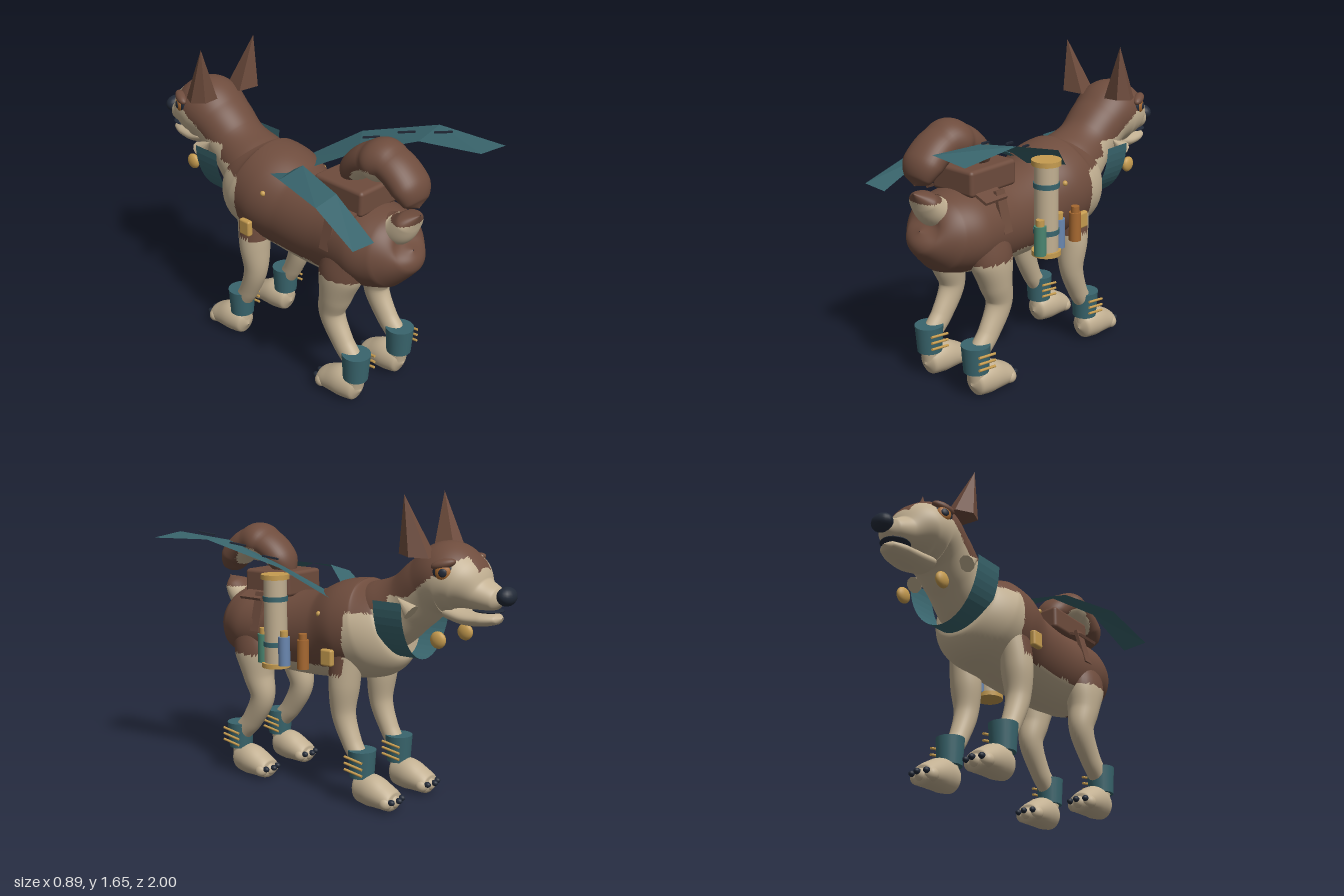
import * as THREE from 'three';
import { RoundedBoxGeometry } from 'three/addons/geometries/RoundedBoxGeometry.js';
import { ConvexGeometry } from 'three/addons/geometries/ConvexGeometry.js';

const mat = (name, color, side = THREE.FrontSide) => {
  const m = new THREE.MeshStandardMaterial({ color, side });
  m.name = name;
  return m;
};
const brown = mat('brown fur', 0x6e4c3d);
const tan = mat('tan fur', 0xc2b092);
const teal = mat('teal cloth', 0x39656d, THREE.DoubleSide);
const gold = mat('gold', 0xc69c50);
const dark = mat('dark navy', 0x222a38);
const green = mat('green glass', 0x4a8570);
const blue = mat('blue glass', 0x6a87b0);
const orange = mat('orange glass', 0xa66830);

const v = (x, y, z) => new THREE.Vector3(x, y, z);

// Smooth skin through oval stations [y, z, halfWidth, halfDepth] lying in the x = 0 plane
function loft(stations, rows = 32, seg = 32) {
  const path = new THREE.CatmullRomCurve3(stations.map(s => v(0, s[0], s[1])));
  const size = new THREE.CatmullRomCurve3(stations.map(s => v(s[2], s[3], 0)));
  const pos = [], index = [], X = v(1, 0, 0);
  for (let i = 0; i <= rows; i++) {
    const t = i / rows, c = path.getPoint(t), r = size.getPoint(t);
    const n = X.clone().cross(path.getTangent(t));
    for (let j = 0; j < seg; j++) {
      const a = j / seg * Math.PI * 2, d = Math.max(r.y, 0.003) * Math.sin(a);
      pos.push(Math.max(r.x, 0.003) * Math.cos(a), c.y + n.y * d, c.z + n.z * d);
      if (i < rows) {
        const p = i * seg + j, q = i * seg + (j + 1) % seg;
        index.push(p, p + seg, q, q, p + seg, q + seg);
      }
    }
  }
  const g = new THREE.BufferGeometry();
  g.setAttribute('position', new THREE.Float32BufferAttribute(pos, 3));
  g.setIndex(index);
  g.computeVertexNormals();
  return g;
}

// Sorts faces into brown and tan fur by a rule on their centre
function paint(g, isBrown) {
  const p = g.attributes.position, src = g.index.array, sets = [[], []];
  for (let i = 0; i < src.length; i += 3) {
    const f = [src[i], src[i + 1], src[i + 2]];
    const mid = k => f.reduce((s, n) => s + p.array[n * 3 + k], 0) / 3;
    sets[isBrown(mid(0), mid(1), mid(2)) ? 0 : 1].push(...f);
  }
  g.setIndex([...sets[0], ...sets[1]]);
  g.addGroup(0, sets[0].length, 0);
  g.addGroup(sets[0].length, sets[1].length, 1);
  return g;
}

function add(parent, name, geo, material, x = 0, y = 0, z = 0) {
  const m = new THREE.Mesh(geo, material);
  m.name = name;
  m.position.set(x, y, z);
  parent.add(m);
  return m;
}
const ball = (parent, name, material, r, x, y, z, sx = 1, sy = 1, sz = 1) => {
  const m = add(parent, name, new THREE.SphereGeometry(r, 20, 14), material, x, y, z);
  m.scale.set(sx, sy, sz);
  return m;
};
const tube = (r1, r2, h) => new THREE.CylinderGeometry(r1, r2, h, 24);

// Cloth strip from pairs of edge points
function ribbon(rows) {
  const g = new THREE.BufferGeometry(), index = [];
  for (let i = 0; i < rows.length - 1; i++) {
    const a = i * 2;
    index.push(a, a + 2, a + 1, a + 1, a + 2, a + 3);
  }
  g.setAttribute('position', new THREE.Float32BufferAttribute(rows.flat(), 3));
  g.setIndex(index);
  const flat = g.toNonIndexed();
  flat.computeVertexNormals();
  return flat;
}

export function createModel() {
  const model = new THREE.Group();
  model.name = 'packDog';
  const dog = new THREE.Group();
  dog.name = 'dog';
  dog.position.x = -0.035;
  model.add(dog);
  const fur = [brown, tan];

  // Trunk
  add(dog, 'body', paint(loft([
    [.92, .85, 0, 0], [.9, .83, .11, .1], [.88, .74, .205, .19], [.865, .6, .245, .22],
    [.85, .35, .225, .23], [.87, .1, .235, .245], [.915, -.08, .27, .27],
    [.935, -.2, .26, .265], [.98, -.31, .2, .2], [1, -.37, 0, 0]], 100, 80),
  (x, y, z) => z < -.15 ? y > 1.04 : y > (z > .62 ? .64 + .4 * Math.abs(x) : .72)), fur);

  // Neck, skull and muzzle
  add(dog, 'neckAndHead', paint(loft([
    [.95, -.08, .18, .2], [1.01, -.27, .19, .19], [1.1, -.42, .165, .16], [1.19, -.53, .175, .16],
    [1.235, -.63, .19, .185], [1.215, -.73, .175, .15], [1.17, -.82, .105, .085],
    [1.15, -.9, .075, .06], [1.145, -.945, 0, 0]], 100, 80),
  (x, y, z) => z > -.36 ? y > 1.06 :
    y > 1.14 + .75 * Math.max(0, -z - .48) || (Math.abs(x) < .06 && y > 1.22 && z > -.83)), fur);
  add(dog, 'lowerJaw', loft([[1.07, -.64, .08, .04], [1.05, -.74, .09, .042], [1.05, -.84, .08, .038],
    [1.055, -.91, .05, .025], [1.06, -.935, 0, 0]]), tan);
  ball(dog, 'mouth', dark, .08, 0, 1.093, -.855, .95, .14, 1);
  ball(dog, 'nose', dark, .05, 0, 1.17, -.953, 1.25, .95, .94);

  for (const s of [-1, 1]) {
    // Ears, eyes and cheek tufts
    add(dog, 'ear', new ConvexGeometry([
      v(.225 * s, 1.35, -.53), v(.08 * s, 1.35, -.48), v(.09 * s, 1.35, -.6),
      v(.18 * s, 1.345, -.62), v(.19 * s, 1.36, -.45), v(.185 * s, 1.65, -.475)]), brown);
    const eye = new THREE.Group();
    eye.name = 'eye';
    eye.position.set(.158 * s, 1.283, -.69);
    eye.rotation.y = Math.atan2(.9 * s, -.4);
    dog.add(eye);
    ball(eye, 'eyeRim', dark, .053, 0, 0, 0, 1, 1, .5);
    ball(eye, 'iris', orange, .04, 0, 0, .014, 1, 1, .5);
    ball(eye, 'pupil', dark, .021, 0, 0, .03, 1, 1, .4);
    const lid = ball(eye, 'brow', brown, .06, 0, .04, .004, 1.05, .42, .5);
    lid.rotation.z = .25 * s;
    const tuft = add(dog, 'cheekTuft', new THREE.ConeGeometry(.045, .11, 10), tan, .18 * s, 1.105, -.48);
    tuft.rotation.x = .9;
    // Hanging gold charms and side pouches
    ball(dog, 'charm', gold, .044, .13 * s, .94, -.65, .55);
    add(dog, 'sidePouch', new RoundedBoxGeometry(.035, .09, .075, 2, .012), gold, .268 * s, .795, -.06);
    ball(dog, 'rivet', gold, .015, .225 * s, 1.01, .03);
    add(dog, 'packStrap', new THREE.BoxGeometry(.02, .22, .06), brown, .205 * s, .97, .48).rotation.z = .25 * s;
    add(dog, 'packStrapTop', new THREE.BoxGeometry(.1, .015, .15), brown, .165 * s, 1.06, .53).rotation.z = -.4 * s;

    // Legs with paws and banded cuffs
    for (const rear of [true, false]) {
      const leg = new THREE.Group();
      leg.name = rear ? 'rearLeg' : 'frontLeg';
      leg.position.x = .172 * s;
      dog.add(leg);
      add(leg, 'limb', paint(loft(rear ?
        [[.88, .6, .05, .1], [.74, .54, .092, .125], [.6, .51, .085, .09], [.48, .485, .066, .072],
          [.33, .565, .052, .062], [.22, .655, .05, .055], [.1, .65, .05, .05]] :
        [[.9, -.12, .06, .1], [.65, -.1, .085, .085], [.48, -.095, .066, .066],
          [.33, -.15, .054, .054], [.22, -.21, .05, .05], [.1, -.22, .05, .05]], 48, 32),
      (x, y, z) => rear ? y > .73 : y > .7 && z > -.14), fur);
      const foot = rear ? .58 : -.285;
      add(leg, 'paw', loft([[.08, .12, 0, 0], [.085, .09, .06, .072], [.09, 0, .08, .088],
        [.072, -.08, .078, .07], [.055, -.14, .07, .05], [.055, -.16, 0, 0]]), tan, 0, 0, foot);
      for (const t of [-1, 0, 1]) {
        ball(leg, 'toe', tan, .037, t * .046, .056, foot - .132 + Math.abs(t) * .015);
        ball(leg, 'claw', dark, .016, t * .048, .068, foot - .17 + Math.abs(t) * .015, 1, 1, 1.3);
      }
      const cuffZ = rear ? .66 : -.217;
      add(leg, 'cuff', tube(.076, .066, .148), teal, 0, .228, cuffZ);
      for (let k = 0; k < 3; k++)
        add(leg, 'cuffBar', tube(.007, .007, .115), gold, .08, .193 + k * .035, cuffZ).rotation.x = Math.PI / 2 - .15;
    }
  }

  // Curled tail with pale inner side, and its root
  add(dog, 'tailCurl', paint(loft([[1.14, .43, .04, .04], [1.24, .47, .1, .075], [1.32, .58, .115, .088],
    [1.325, .7, .115, .088], [1.25, .81, .115, .08], [1.18, .85, .08, .045], [1.155, .87, 0, 0]], 64, 40),
  (x, y, z) => Math.hypot(y - 1.17, z - .63) > .135), fur);
  add(dog, 'tailRoot', paint(loft([[1, .6, .07, .07], [1, .75, .095, .08], [1.07, .82, .09, .055],
    [1.12, .88, 0, 0]], 40, 32), (x, y, z) => y > 1.07 || z < .72), fur);

  // Neckerchief hanging under the throat
  const collar = [];
  for (let i = 0; i <= 24; i++) {
    const a = Math.PI * i / 24, x = .233 * Math.cos(a), y = 1.12 - .32 * Math.sin(a);
    collar.push([x, y, -.495, x, y, -.325]);
  }
  add(dog, 'neckerchief', ribbon(collar), teal);

  // Trailing scarf ends with small dark stitches
  add(model, 'shortScarfEnd', ribbon([
    [-.18, 1.09, -.015, -.08, 1.09, .055], [-.315, 1.17, .21, -.18, 1.215, .24],
    [-.41, 1.175, .555, -.27, 1.2, .555], [-.45, 1.07, .83, -.305, 1.06, .83]]), teal);
  add(model, 'longScarfEnd', ribbon([
    [-.02, 1.07, .06, .135, 1.07, -.05], [.11, 1.23, .345, .295, 1.25, .21],
    [.2, 1.36, .66, .4, 1.38, .63], [.24, 1.39, 1, .44, 1.37, 1]]), teal);
  for (const [x, y, z] of [[.205, 1.285, .35], [.265, 1.35, .53], [.3, 1.4, .73]])
    add(model, 'scarfStitch', new THREE.BoxGeometry(.012, .009, .09), dark, x, y, z).rotation.set(-.2, .45, 0);

  // Saddle pack
  add(dog, 'saddlePack', new RoundedBoxGeometry(.28, .135, .32, 3, .02), brown, 0, 1.125, .47);

  // Scroll case
  const kit = new THREE.Group();
  kit.name = 'scrollCase';
  kit.position.set(.265, 0, .265);
  model.add(kit);
  add(kit, 'case', tube(.062, .062, .48), tan, 0, .96, 0);
  for (const y of [.72, 1.197]) add(kit, 'caseCap', tube(.076, .076, .026), gold, 0, y, 0);
  for (const y of [.835, 1.08]) add(kit, 'caseBand', tube(.067, .067, .026), teal, 0, y, 0);

  // Bottles
  for (const [name, m, z] of [['greenBottle', green, .335], ['blueBottle', blue, .19], ['orangeBottle', orange, .06]]) {
    add(model, name, tube(.032, .032, .155), m, .285, .805, z);
    add(model, 'bottleCap', tube(.022, .022, .035), m === orange ? orange : gold, .285, .898, z);
  }
  return model;
}
